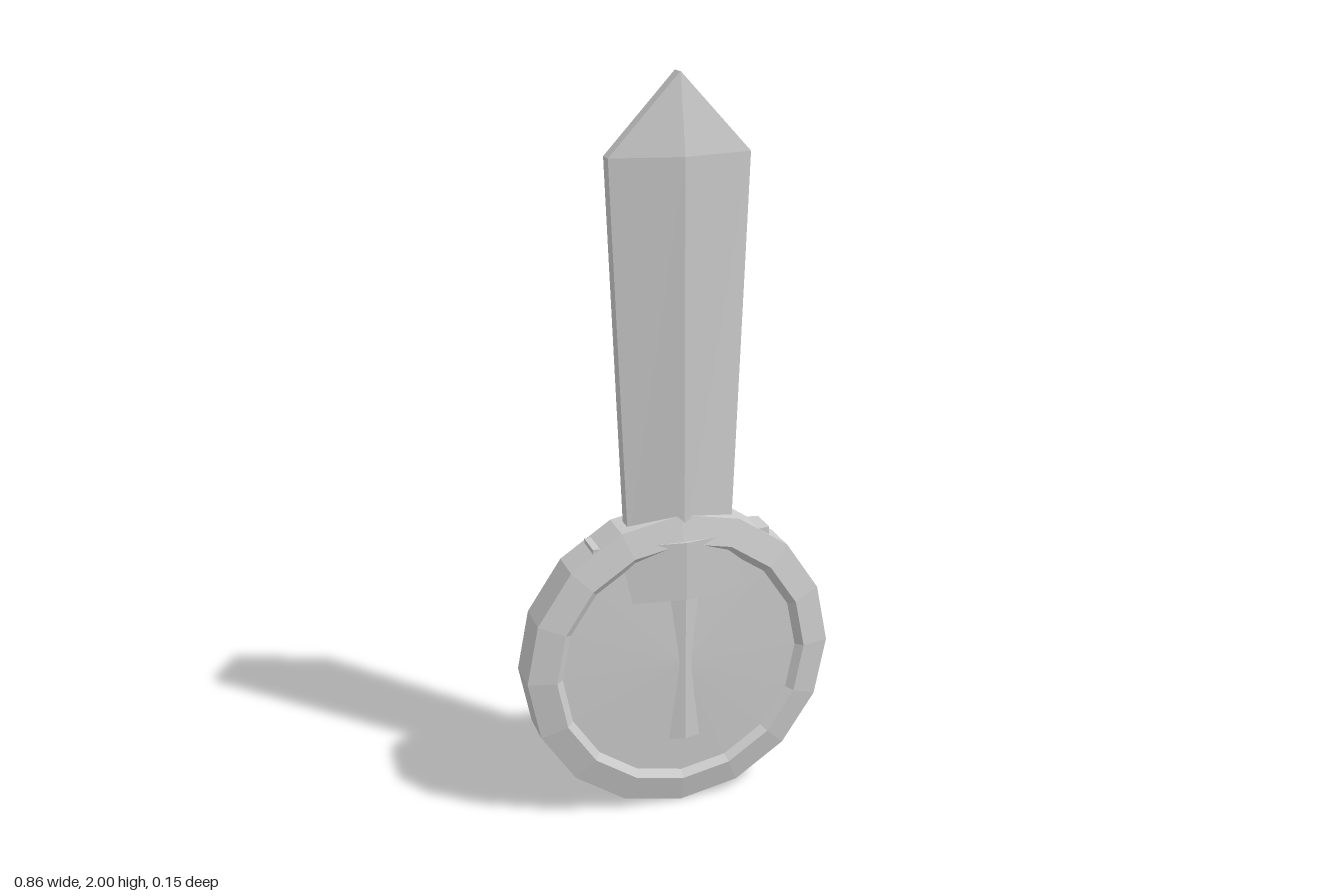
import * as THREE from 'three';

const grey = new THREE.MeshStandardMaterial({ color: 0xcccccc, flatShading: true });

// Loft of ridged six-sided sections: [y, half width, edge half depth, ridge half depth]
function ridgedBar(sections) {
  const pos = [], idx = [];
  for (const [y, w, e, m] of sections) {
    for (const [x, z] of [[-w, e], [0, m], [w, e], [w, -e], [0, -m], [-w, -e]]) pos.push(x, y, z);
  }
  const last = (sections.length - 1) * 6;
  for (let s = 0; s < last; s += 6) {
    for (let j = 0; j < 6; j++) {
      const a = s + j, b = s + (j + 1) % 6;
      idx.push(a, b, b + 6, a, b + 6, a + 6);
    }
  }
  for (let j = 1; j < 5; j++) {
    idx.push(last, last + j, last + j + 1);
    idx.push(0, j + 1, j);
  }
  const g = new THREE.BufferGeometry();
  g.setAttribute('position', new THREE.Float32BufferAttribute(pos, 3));
  g.setIndex(idx);
  g.computeVertexNormals();
  return g;
}

function part(name, geometry) {
  const mesh = new THREE.Mesh(geometry, grey);
  mesh.name = name;
  return mesh;
}

export function createModel() {
  const model = new THREE.Group();
  model.name = 'swordAndShield';

  // Round shield: flat back, bevelled rim, sunken shallow dome
  const profile = [
    [0, -0.055], [0.43, -0.055], [0.43, 0.052], [0.354, 0.07], [0.334, 0.053], [0, 0.064],
  ].map(([r, h]) => new THREE.Vector2(r, h));
  const shield = part('shield', new THREE.LatheGeometry(profile, 16).rotateX(Math.PI / 2));
  shield.position.y = 0.431;
  model.add(shield);

  // Sword standing through the shield
  const sword = new THREE.Group();
  sword.name = 'sword';
  sword.position.x = 0.007;
  sword.add(
    part('blade', ridgedBar([[0.78, 0.145, 0.02, 0.057], [1.8, 0.186, 0.02, 0.057], [2, 0.001, 0.02, 0.02]])),
    part('guard', ridgedBar([[0.625, 0.248, 0.041, 0.077], [0.79, 0.248, 0.041, 0.077]])),
    part('grip', ridgedBar([[0.2, 0.052, 0.054, 0.068], [0.63, 0.052, 0.054, 0.068]])),
  );
  model.add(sword);
  return model;
}
